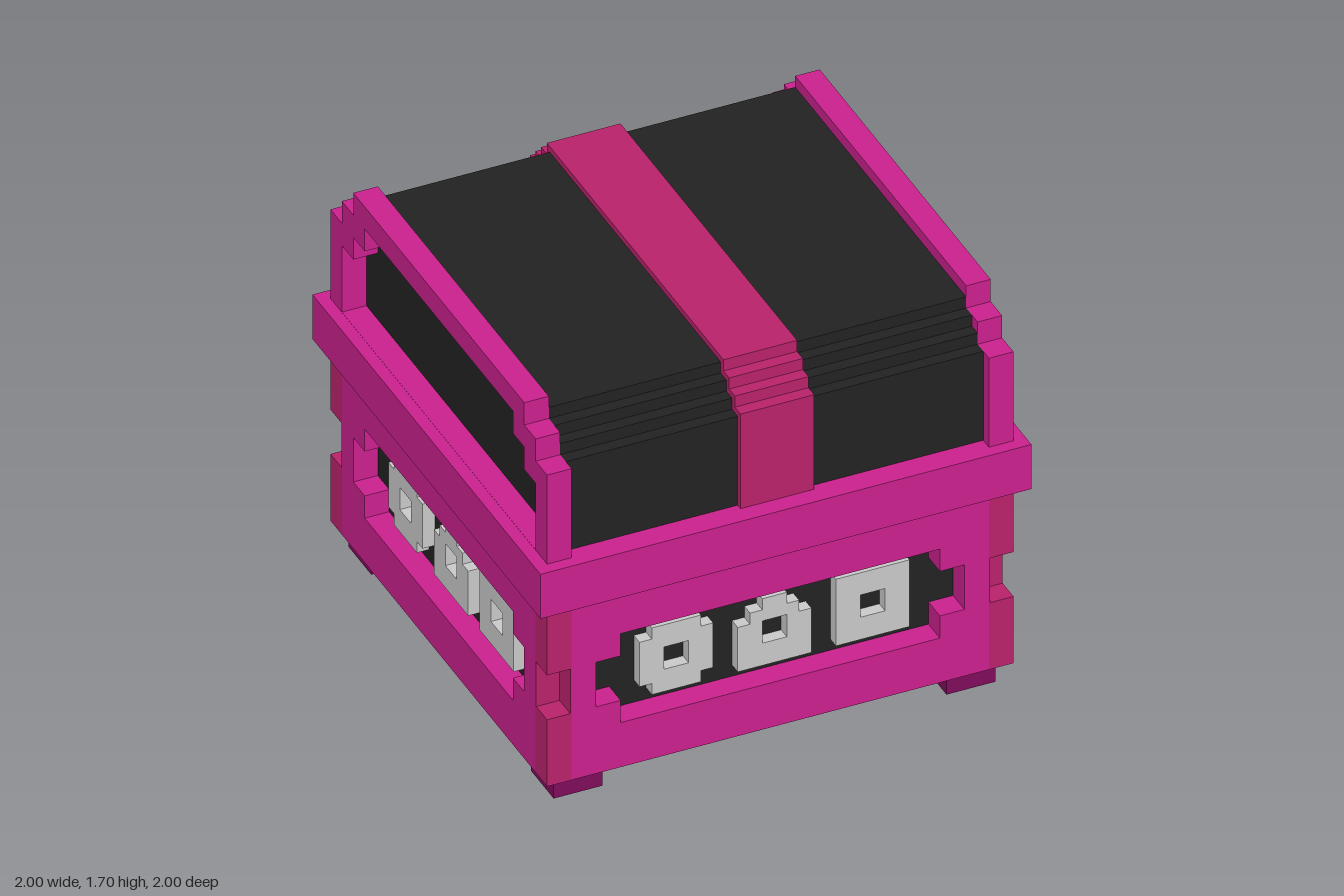
import * as THREE from 'three';

const material = (name, color) => {
  const m = new THREE.MeshStandardMaterial({ color });
  m.name = name;
  return m;
};

export function createModel() {
  const magenta = material('magenta', 0xc9208c);
  const crimson = material('crimson', 0xb8226a);
  const black = material('black', 0x222222);
  const grey = material('light grey', 0xc8c8c8);
  const purple = material('dark purple', 0x7f0c5c);
  const chest = new THREE.Group();
  chest.name = 'chest';

  // Box given by its minimum and maximum corners
  function box(parent, name, mat, [x0, y0, z0], [x1, y1, z1]) {
    const mesh = new THREE.Mesh(new THREE.BoxGeometry(x1 - x0, y1 - y0, z1 - z0), mat);
    mesh.position.set((x0 + x1) / 2, (y0 + y1) / 2, (z0 + z1) / 2);
    mesh.name = name;
    parent.add(mesh);
    return mesh;
  }

  // Symmetric stepped outline: rows of [half width, top], starting at height y0
  function stepped(y0, rows, cx = 0) {
    const right = [];
    let y = y0;
    for (const [w, top] of rows) {
      right.push([w, y], [w, top]);
      y = top;
    }
    const left = right.map(([w, h]) => [-w, h]).reverse();
    return [...right, ...left].map(([w, h]) => new THREE.Vector2(cx + w, h));
  }

  // Extruded outline, optionally with a hole, starting at depth z
  function slab(parent, name, mat, outline, hole, z, depth) {
    const shape = new THREE.Shape(outline);
    if (hole) shape.holes.push(new THREE.Path(hole));
    const geometry = new THREE.ExtrudeGeometry(shape, { depth, bevelEnabled: false });
    const mesh = new THREE.Mesh(geometry, mat);
    mesh.position.z = z;
    mesh.name = name;
    parent.add(mesh);
  }

  // Body core, floor and rim
  box(chest, 'bodyCore', black, [-0.85, 0.105, -0.85], [0.85, 0.9, 0.85]);
  box(chest, 'floor', magenta, [-0.95, 0.1, -0.95], [0.95, 0.105, 0.95]);
  box(chest, 'rim', magenta, [-1, 0.9, -1], [1, 1.1, 1]);

  // Pixel ornaments: centre and stepped rows
  const ornaments = [
    [-0.4, [[0.1, 0.4], [0.15, 0.6], [0.1, 0.65]]],
    [0, [[0.15, 0.55], [0.1, 0.6], [0.05, 0.65]]],
    [0.4, [[0.15, 0.65]]],
  ];

  // Four equal sides, each with one corner and one foot
  for (let i = 0; i < 4; i++) {
    const side = new THREE.Group();
    side.name = 'side' + (i + 1);
    side.rotation.y = i * Math.PI / 2;
    chest.add(side);

    slab(side, 'sideFrame', magenta, stepped(0.105, [[0.85, 0.9]]),
      stepped(0.3, [[0.65, 0.4], [0.75, 0.6], [0.65, 0.7]]), 0.85, 0.1);
    for (const [cx, rows] of ornaments) {
      slab(side, 'ornament', grey, stepped(0.35, rows, cx),
        stepped(0.45, [[0.05, 0.55]], cx), 0.85, 0.05);
    }

    // Corner post with a square notch lined in crimson
    box(side, 'lowerPost', crimson, [0.85, 0.105, 0.85], [0.95, 0.4, 0.95]);
    box(side, 'upperPost', crimson, [0.85, 0.6, 0.85], [0.95, 0.9, 0.95]);
    box(side, 'notchLining', crimson, [0.85, 0.4, 0.85], [0.855, 0.6, 0.95]);
    box(side, 'notchLining', crimson, [0.855, 0.4, 0.85], [0.95, 0.6, 0.855]);

    box(side, 'foot', purple, [0.7, 0, 0.7], [0.9, 0.1, 0.9]);
  }

  // Lid: profiles are drawn across z and extruded along x
  const lid = new THREE.Group();
  lid.name = 'lid';
  lid.rotation.y = Math.PI / 2;
  chest.add(lid);
  slab(lid, 'lidBarrel', black,
    stepped(1.1, [[0.9, 1.5], [0.85, 1.55], [0.8, 1.6], [0.75, 1.65]]), null, -0.85, 1.7);
  slab(lid, 'lidStrap', crimson,
    stepped(1.1, [[0.925, 1.525], [0.875, 1.575], [0.825, 1.625], [0.775, 1.675]]),
    null, -0.15, 0.3);
  for (const z of [-0.95, 0.85]) {
    slab(lid, 'lidEndFrame', magenta,
      stepped(1.1, [[0.95, 1.5], [0.85, 1.6], [0.75, 1.7]]),
      stepped(1.101, [[0.85, 1.4], [0.75, 1.5], [0.65, 1.6]]), z, 0.1);
  }
  return chest;
}
